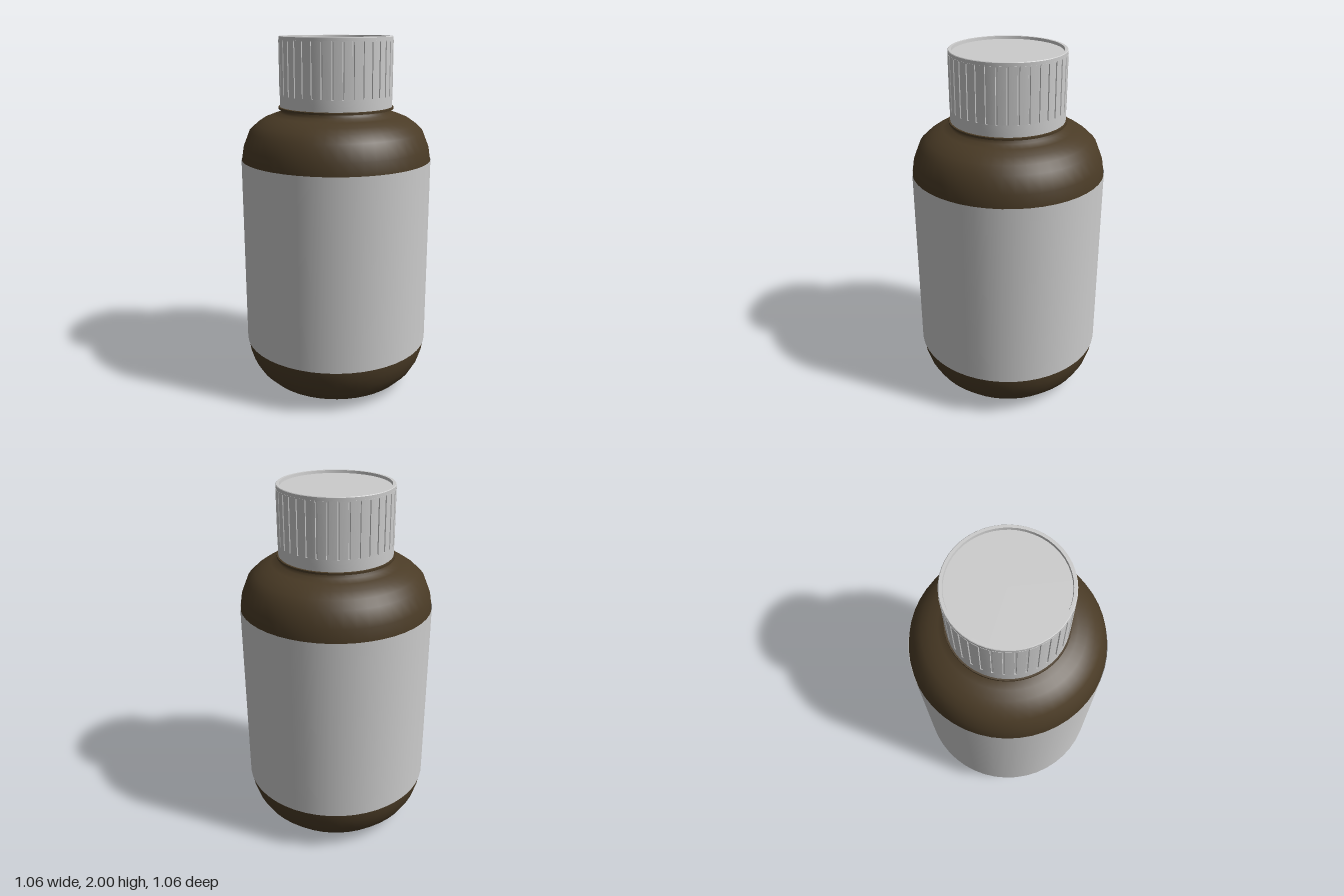
import * as THREE from 'three';
import { toCreasedNormals } from 'three/addons/utils/BufferGeometryUtils.js';

const SEGMENTS = 48;

const glass = new THREE.MeshStandardMaterial({ color: 0x4a3b26 });
const grey = new THREE.MeshStandardMaterial({ color: 0xcccccc });

// Revolve [radius, height] pairs, listed from the bottom up on the outside
function turned(name, profile, material, crease = 0.6) {
  const points = profile.map(([r, y]) => new THREE.Vector2(r, y));
  const geometry = toCreasedNormals(new THREE.LatheGeometry(points, SEGMENTS), crease);
  const mesh = new THREE.Mesh(geometry, material);
  mesh.name = name;
  return mesh;
}

// Cap wall with narrow upright grooves between wide ribs
function capGrip(bottom, top, outer, inner, count) {
  const shape = new THREE.Shape();
  const step = (Math.PI * 2) / count;
  const stops = [[0, inner], [0.14, inner], [0.18, outer], [0.57, outer], [0.96, outer]];
  for (let i = 0; i < count; i++) {
    stops.forEach(([t, r], j) => {
      const a = (i + t) * step;
      const x = r * Math.cos(a), y = r * Math.sin(a);
      if (i === 0 && j === 0) shape.moveTo(x, y);
      else shape.lineTo(x, y);
    });
  }
  shape.closePath();
  const geometry = new THREE.ExtrudeGeometry(shape, { depth: top - bottom, bevelEnabled: false });
  geometry.rotateX(-Math.PI / 2).translate(0, bottom, 0);
  const mesh = new THREE.Mesh(toCreasedNormals(geometry, 0.4), grey);
  mesh.name = 'capGrip';
  return mesh;
}

export function createModel() {
  const model = new THREE.Group();
  model.name = 'bottle';

  // Rounded bottle with a shallow hollow underneath and a short neck
  model.add(turned('bottleBody', [
    [0, 0.015], [0.2, 0.012], [0.26, 0], [0.29, 0.002], [0.35, 0.016], [0.415, 0.05],
    [0.465, 0.1], [0.497, 0.155], [0.516, 0.215], [0.525, 0.27],
    [0.525, 1.34], [0.514, 1.41], [0.48, 1.495], [0.44, 1.533], [0.4, 1.56],
    [0.35, 1.58], [0.31, 1.593], [0.3, 1.605], [0.296, 1.63],
  ], glass, 0.9));

  // Thin collar just below the cap
  model.add(turned('neckCollar', [
    [0.28, 1.614], [0.317, 1.614], [0.317, 1.625], [0.28, 1.625],
  ], glass));

  // Label wrapped round the straight wall
  const label = new THREE.Mesh(
    new THREE.CylinderGeometry(0.528, 0.528, 1.07, SEGMENTS, 1, true),
    new THREE.MeshStandardMaterial({ color: 0xcccccc, side: THREE.DoubleSide }),
  );
  label.name = 'label';
  label.position.y = 0.805;
  model.add(label);

  // Screw cap: plain lower band, grooved grip, rim around a sunken lid
  const cap = new THREE.Group();
  cap.name = 'cap';
  cap.add(turned('capBand', [
    [0.28, 1.627], [0.309, 1.627], [0.309, 1.69], [0.28, 1.69],
  ], grey));
  cap.add(capGrip(1.69, 1.98, 0.31, 0.305, 36));
  cap.add(turned('capLid', [
    [0.28, 1.975], [0.309, 1.975], [0.309, 1.997], [0.306, 2], [0.291, 2],
    [0.289, 1.985], [0, 1.985],
  ], grey));
  model.add(cap);

  return model;
}
